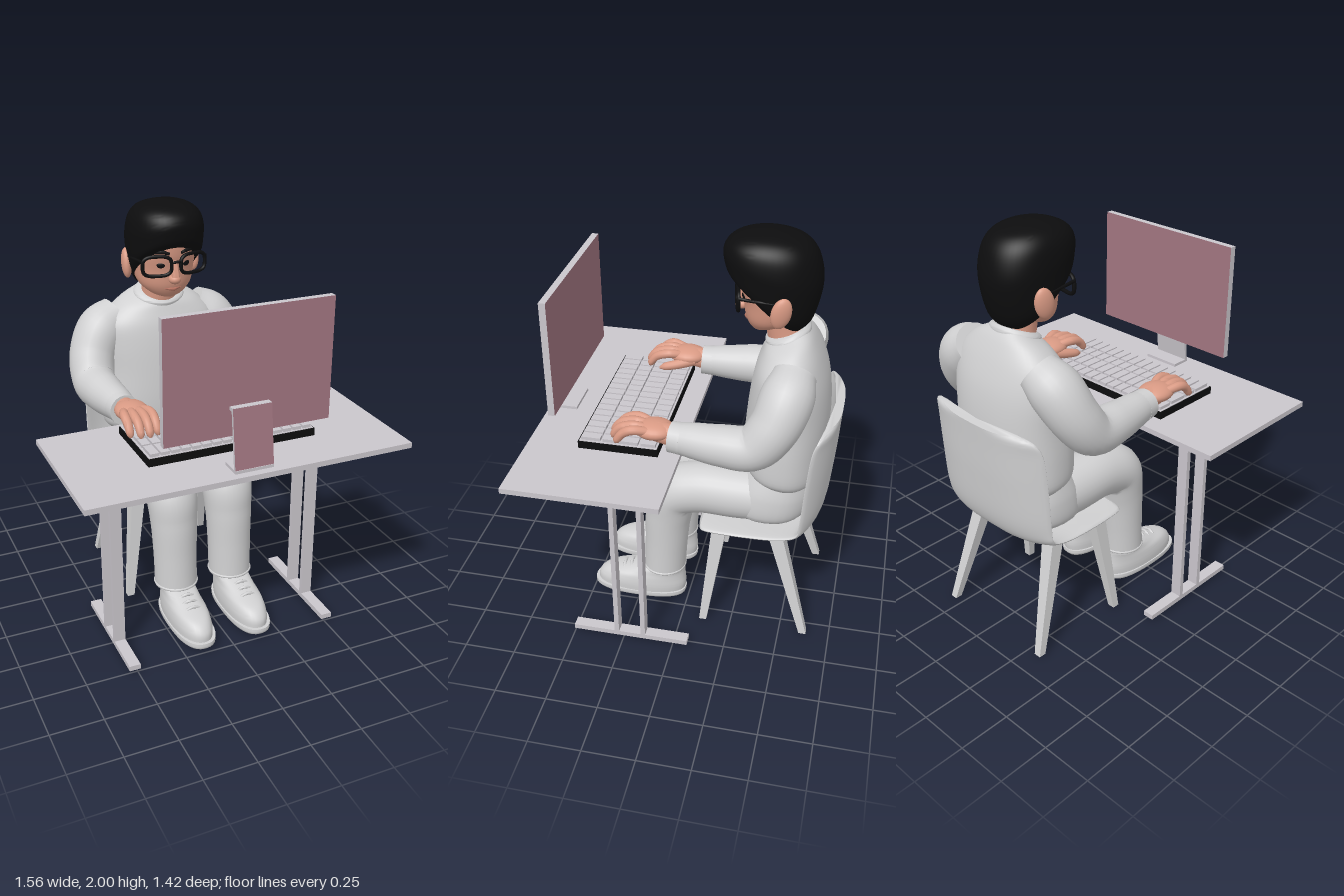
import * as THREE from 'three';
import { toCreasedNormals } from 'three/addons/utils/BufferGeometryUtils.js';

const V = (x, y, z) => new THREE.Vector3(x, y, z);
const mat = (name, color) => Object.assign(new THREE.MeshStandardMaterial({ color }), { name });

// Smooth interpolation through rows of numbers, t in 0..1
function spline(rows, t) {
  const f = t * (rows.length - 1), i = Math.min(Math.floor(f), rows.length - 2), k = f - i;
  const at = j => rows[THREE.MathUtils.clamp(j, 0, rows.length - 1)];
  return rows[0].map((_, c) => {
    const [a, b, d, e] = [at(i - 1)[c], at(i)[c], at(i + 1)[c], at(i + 2)[c]];
    return b + 0.5 * k * (d - a + k * (2 * a - 5 * b + 4 * d - e + k * (3 * (b - d) + e - a)));
  });
}

// Closed skin over a stack of rings, with flat end caps
function skin(rings, crease = 0.9) {
  const n = rings[0].length, m = rings.length, pts = rings.flat(), idx = [];
  for (let i = 0; i < m - 1; i++) for (let j = 0; j < n; j++) {
    const a = i * n + j, c = i * n + (j + 1) % n;
    idx.push(a, a + n, c, c, a + n, c + n);
  }
  const middle = r => r.reduce((s, p) => s.add(p), V(0, 0, 0)).divideScalar(n);
  pts.push(middle(rings[0]), middle(rings[m - 1]));
  for (let j = 0; j < n; j++) {
    const k = (j + 1) % n, top = (m - 1) * n;
    idx.push(m * n, j, k, m * n + 1, top + k, top + j);
  }
  const g = new THREE.BufferGeometry().setFromPoints(pts);
  g.setIndex(idx);
  return toCreasedNormals(g, crease);
}

const bulge = (v, p) => Math.sign(v) * Math.abs(v) ** (2 / p);
const angles = n => Array.from({ length: n }, (_, j) => j / n * Math.PI * 2);

// Body volume from rows of [front y, front z, back y, back z, half width], bottom to top
function loft(rows, p = 2, x = 0, steps = 30, seg = 36) {
  const rings = [];
  for (let i = 0; i <= steps; i++) {
    const [yf, zf, yb, zb, w] = spline(rows, i / steps);
    rings.push(angles(seg).map(a => {
      const k = (bulge(Math.sin(a), p) + 1) / 2;
      return V(x + w * bulge(Math.cos(a), p), yb + (yf - yb) * k, zb + (zf - zb) * k);
    }));
  }
  return skin(rings);
}

// Round limb along points of [x, y, z, radius]
function limb(pts, steps = 24, seg = 16) {
  const curve = new THREE.CatmullRomCurve3(pts.map(p => V(...p)));
  const fr = curve.computeFrenetFrames(steps, false), rings = [];
  for (let i = 0; i <= steps; i++) {
    const c = curve.getPointAt(i / steps);
    const [r] = spline(pts.map(p => [p[3]]), curve.getUtoTmapping(i / steps));
    rings.push(angles(seg).map(a => c.clone()
      .addScaledVector(fr.normals[i], r * Math.cos(a))
      .addScaledVector(fr.binormals[i], -r * Math.sin(a))));
  }
  return skin(rings);
}

const square = (x, y, z, h) => [[1, 1], [-1, 1], [-1, -1], [1, -1]].map(([a, b]) => V(x + a * h, y, z + b * h));

export function createModel() {
  const root = new THREE.Group();
  const cloth = mat('cloth grey', 0xd0d0d1), furniture = mat('furniture grey', 0xcac6cc);
  const rose = mat('screen rose', 0xa27681), black = mat('black', 0x0d0d0e);
  const skinTone = mat('skin', 0xd99a84), lip = mat('lip', 0xb2705f);
  const group = name => { const g = new THREE.Group(); g.name = name; root.add(g); return g; };
  const add = (parent, name, geo, m) => {
    const o = new THREE.Mesh(geo, m); o.name = name; parent.add(o); return o;
  };
  const box = (parent, name, m, x, y, z, w, h, d) => {
    const o = add(parent, name, new THREE.BoxGeometry(w, h, d), m); o.position.set(x, y, z); return o;
  };
  const ball = (parent, name, m, x, y, z, a, b, c) => {
    const o = add(parent, name, new THREE.SphereGeometry(1, 24, 16), m);
    o.position.set(x, y, z); o.scale.set(a, b, c); return o;
  };

  // Desk with two posts and a floor bar on each side
  const desk = group('desk');
  box(desk, 'deskTop', furniture, 0, 1.017, 0.347, 1.56, 0.026, 0.715);
  for (const s of [1, -1]) {
    for (const z of [0.15, 0.283]) box(desk, 'deskPost', furniture, s * 0.512, 0.52, z, 0.055, 0.97, 0.023);
    box(desk, 'deskFoot', furniture, s * 0.512, 0.025, 0.215, 0.055, 0.025, 0.575);
  }

  // Monitor: rose on both large faces, grey edges and stand
  const monitor = group('monitor'), g = furniture;
  box(monitor, 'screenPanel', [g, g, g, g, rose, rose], 0, 1.463, 0.582, 0.79, 0.565, 0.032);
  box(monitor, 'standNeck', [g, g, g, g, rose, g], 0, 1.18, 0.64, 0.185, 0.28, 0.014).rotation.x = -0.125;
  box(monitor, 'standHook', g, 0, 1.312, 0.61, 0.185, 0.016, 0.03);
  box(monitor, 'standBase', g, 0, 1.037, 0.617, 0.185, 0.014, 0.1);

  // Keyboard
  const keyboard = group('keyboard');
  box(keyboard, 'keyboardCase', black, 0, 1.05, 0.273, 0.82, 0.036, 0.375);
  box(keyboard, 'keyboardDeck', g, 0, 1.069, 0.273, 0.81, 0.004, 0.365);
  for (const [z, d] of [[0.133, 0.068], [0.228, 0.095], [0.315, 0.062], [0.403, 0.09]])
    for (let i = 0; i < 16; i++) box(keyboard, 'key', g, (i - 7.5) * 0.05, 1.078, z, 0.041, 0.016, d);

  // Chair: bent shell swept from the seat front to the top of the backrest
  const chair = group('chair');
  const profile = [ // y, z, half width, forward curl of the sides
    [0.582, -0.09, 0.29, 0], [0.58, -0.115, 0.34, 0.005], [0.578, -0.3, 0.36, 0.015], [0.578, -0.48, 0.36, 0.025],
    [0.6, -0.59, 0.36, 0.05], [0.69, -0.645, 0.36, 0.075], [0.9, -0.672, 0.36, 0.085],
    [1.08, -0.685, 0.352, 0.08], [1.15, -0.69, 0.325, 0.06], [1.175, -0.692, 0.25, 0.04]];
  const shell = [];
  for (let i = 0; i <= 60; i++) {
    const [y, z, w, curl] = spline(profile, i / 60);
    const [y0, z0] = spline(profile, Math.max(0, i / 60 - 0.01)), [y1, z1] = spline(profile, Math.min(1, i / 60 + 0.01));
    const normal = V(1, 0, 0).cross(V(0, y1 - y0, z1 - z0).normalize());
    shell.push(angles(40).map(a => {
      const u = bulge(Math.cos(a), 2.8);
      return V(w * u, y, z).addScaledVector(normal, 0.02 * bulge(Math.sin(a), 2.8) + curl * Math.abs(u) ** 3);
    }));
  }
  add(chair, 'chairShell', skin(shell), cloth);
  for (const s of [1, -1]) for (const [zt, zb] of [[-0.18, -0.11], [-0.445, -0.62]])
    add(chair, 'chairLeg', skin([square(s * 0.312, 0, zb, 0.018), square(s * 0.235, 0.58, zt, 0.036)], 0.4), cloth);

  // Sweater and hips
  const body = group('body');
  add(body, 'sweater', loft([
    [0.85, -0.29, 0.79, -0.6, 0.27], [0.89, -0.26, 0.84, -0.635, 0.3], [1.0, -0.255, 0.98, -0.645, 0.305],
    [1.15, -0.265, 1.15, -0.65, 0.3], [1.28, -0.28, 1.3, -0.635, 0.305], [1.38, -0.3, 1.42, -0.6, 0.29],
    [1.45, -0.325, 1.51, -0.56, 0.21], [1.485, -0.34, 1.555, -0.53, 0.13], [1.492, -0.355, 1.565, -0.52, 0.11]], 2.3, 0, 40, 48), cloth);
  add(body, 'collar', loft([[1.47, -0.335, 1.54, -0.537, 0.13], [1.49, -0.33, 1.56, -0.535, 0.127],
    [1.505, -0.345, 1.575, -0.522, 0.11]], 2, 0, 8), cloth);
  add(body, 'hips', loft([[0.585, -0.25, 0.585, -0.54, 0.22], [0.64, -0.2, 0.64, -0.6, 0.28],
    [0.76, -0.22, 0.74, -0.615, 0.285], [0.87, -0.3, 0.84, -0.59, 0.26]], 2.4), cloth);

  for (const s of [1, -1]) {
    // Sleeve, cuff and hand
    const arm = group(s > 0 ? 'leftArm' : 'rightArm');
    add(arm, 'sleeve', limb([[s * 0.2, 1.41, -0.49, 0.1], [s * 0.29, 1.35, -0.475, 0.122], [s * 0.36, 1.23, -0.43, 0.115],
      [s * 0.383, 1.13, -0.345, 0.106], [s * 0.38, 1.118, -0.2, 0.096], [s * 0.368, 1.12, -0.06, 0.081],
      [s * 0.362, 1.122, 0.03, 0.068]], 40, 24), cloth);
    add(arm, 'cuff', limb([[s * 0.366, 1.12, -0.02, 0.075], [s * 0.362, 1.122, 0.035, 0.072]], 4, 24), cloth);
    add(arm, 'wrist', limb([[s * 0.362, 1.125, 0, 0.054], [s * 0.358, 1.143, 0.1, 0.05]], 6), skinTone);
    ball(arm, 'palm', skinTone, s * 0.355, 1.15, 0.11, 0.078, 0.042, 0.095);
    for (let i = 0; i < 4; i++) {
      const x = 0.298 + i * 0.041, reach = [0, 0.012, 0.005, -0.02][i];
      add(arm, 'finger', limb([[s * (x * 0.6 + 0.145), 1.158, 0.12, 0.02], [s * x, 1.17, 0.2, 0.022],
        [s * x, 1.15, 0.26 + reach, 0.021], [s * x, 1.108, 0.292 + reach, 0.017],
        [s * x, 1.095, 0.297 + reach, 0.006]], 16, 12), skinTone);
    }
    add(arm, 'thumb', limb([[s * 0.315, 1.14, 0.07, 0.028], [s * 0.285, 1.122, 0.15, 0.024],
      [s * 0.273, 1.108, 0.215, 0.019], [s * 0.272, 1.1, 0.24, 0.006]], 16, 12), skinTone);

    // Trouser leg, sock and shoe
    const leg = group(s > 0 ? 'leftLeg' : 'rightLeg'), x = s * 0.148;
    add(leg, 'trouserLeg', limb([[x, 0.7, -0.5, 0.12], [x, 0.702, -0.25, 0.13], [x, 0.7, -0.05, 0.128],
      [x, 0.655, 0.068, 0.127], [x, 0.53, 0.1, 0.116], [x, 0.35, 0.115, 0.108], [x, 0.18, 0.125, 0.106]], 48, 28), cloth);
    const hem = add(leg, 'trouserHem', new THREE.TorusGeometry(0.104, 0.007, 8, 32), cloth);
    hem.position.set(x, 0.192, 0.125); hem.rotation.x = Math.PI / 2;
    add(leg, 'sock', limb([[x, 0.14, 0.12, 0.076], [x, 0.23, 0.12, 0.072]], 4), cloth);
    add(leg, 'sole', loft([[0.012, 0.485, 0.012, 0.025, 0.088], [0.025, 0.5, 0.025, 0.015, 0.099],
      [0.048, 0.5, 0.045, 0.015, 0.1]], 2.5, x, 6), cloth);
    add(leg, 'shoe', loft([[0.04, 0.485, 0.04, 0.02, 0.094], [0.085, 0.478, 0.08, 0.015, 0.095],
      [0.125, 0.435, 0.12, 0.018, 0.09], [0.15, 0.35, 0.15, 0.02, 0.083], [0.175, 0.27, 0.18, 0.022, 0.08],
      [0.19, 0.22, 0.2, 0.035, 0.074]], 2.2, x), cloth);
    for (let i = 0; i < 3; i++)
      add(leg, 'lace', limb([[x - 0.045, 0.138 + i * 0.012, 0.335 - i * 0.038, 0.008],
        [x, 0.158 + i * 0.013, 0.34 - i * 0.038, 0.008], [x + 0.045, 0.138 + i * 0.012, 0.335 - i * 0.038, 0.008]], 8, 8), cloth);
  }

  // Head and hair
  const head = group('head');
  add(head, 'neck', limb([[0, 1.45, -0.45, 0.1], [0, 1.53, -0.425, 0.09], [0, 1.62, -0.41, 0.09]], 8, 28), skinTone);
  add(head, 'face', loft([[1.532, -0.29, 1.555, -0.36, 0.04], [1.548, -0.264, 1.575, -0.42, 0.088],
    [1.6, -0.237, 1.61, -0.48, 0.132], [1.68, -0.226, 1.68, -0.53, 0.153], [1.76, -0.206, 1.76, -0.55, 0.16],
    [1.85, -0.21, 1.85, -0.54, 0.15], [1.92, -0.27, 1.92, -0.46, 0.09]]), skinTone);
  ball(head, 'nose', skinTone, 0, 1.64, -0.217, 0.03, 0.024, 0.032);
  add(head, 'noseBridge', limb([[0, 1.73, -0.223, 0.014], [0, 1.65, -0.205, 0.02]], 6), skinTone);
  add(head, 'mouth', limb([[-0.042, 1.59, -0.248, 0.003], [0, 1.585, -0.238, 0.008], [0.042, 1.59, -0.248, 0.003]], 12, 8), lip);
  add(head, 'hair', loft([[1.795, -0.205, 1.55, -0.49, 0.15], [1.825, -0.152, 1.6, -0.535, 0.172],
    [1.87, -0.135, 1.7, -0.565, 0.18], [1.915, -0.132, 1.8, -0.575, 0.182], [1.955, -0.155, 1.9, -0.552, 0.168],
    [1.983, -0.205, 1.96, -0.505, 0.132], [1.998, -0.28, 1.99, -0.43, 0.075], [2, -0.34, 2, -0.37, 0.015]], 2.15, 0, 40, 48), black);

  // Ears, eyes, brows and glasses
  const rim = new THREE.CatmullRomCurve3(angles(24).map(a =>
    V(0.07 * bulge(Math.cos(a), 3.2), 0.047 * bulge(Math.sin(a), 3.2), 0)), true);
  for (const s of [1, -1]) {
    ball(head, 'ear', skinTone, s * 0.172, 1.69, -0.415, 0.026, 0.074, 0.046).rotation.set(-0.2, s * 0.3, 0);
    ball(head, 'eye', black, s * 0.065, 1.71, -0.233, 0.02, 0.014, 0.005).rotation.y = s * 0.4;
    add(head, 'brow', limb([[s * 0.03, 1.768, -0.207, 0.007], [s * 0.07, 1.778, -0.22, 0.01],
      [s * 0.115, 1.765, -0.252, 0.005]], 10, 8), black);
    const frame = add(head, 'glassesRim', new THREE.TubeGeometry(rim, 48, 0.009, 8, true), black);
    frame.position.set(s * 0.092, 1.713, -0.212); frame.rotation.y = s * 0.22;
    add(head, 'glassesArm', limb([[s * 0.163, 1.738, -0.228, 0.008], [s * 0.174, 1.735, -0.32, 0.007],
      [s * 0.168, 1.725, -0.43, 0.006]], 8, 8), black);
  }
  add(head, 'glassesBridge', limb([[-0.028, 1.725, -0.198, 0.007], [0, 1.73, -0.19, 0.007], [0.028, 1.725, -0.198, 0.007]], 8, 8), black);
  return root;
}
